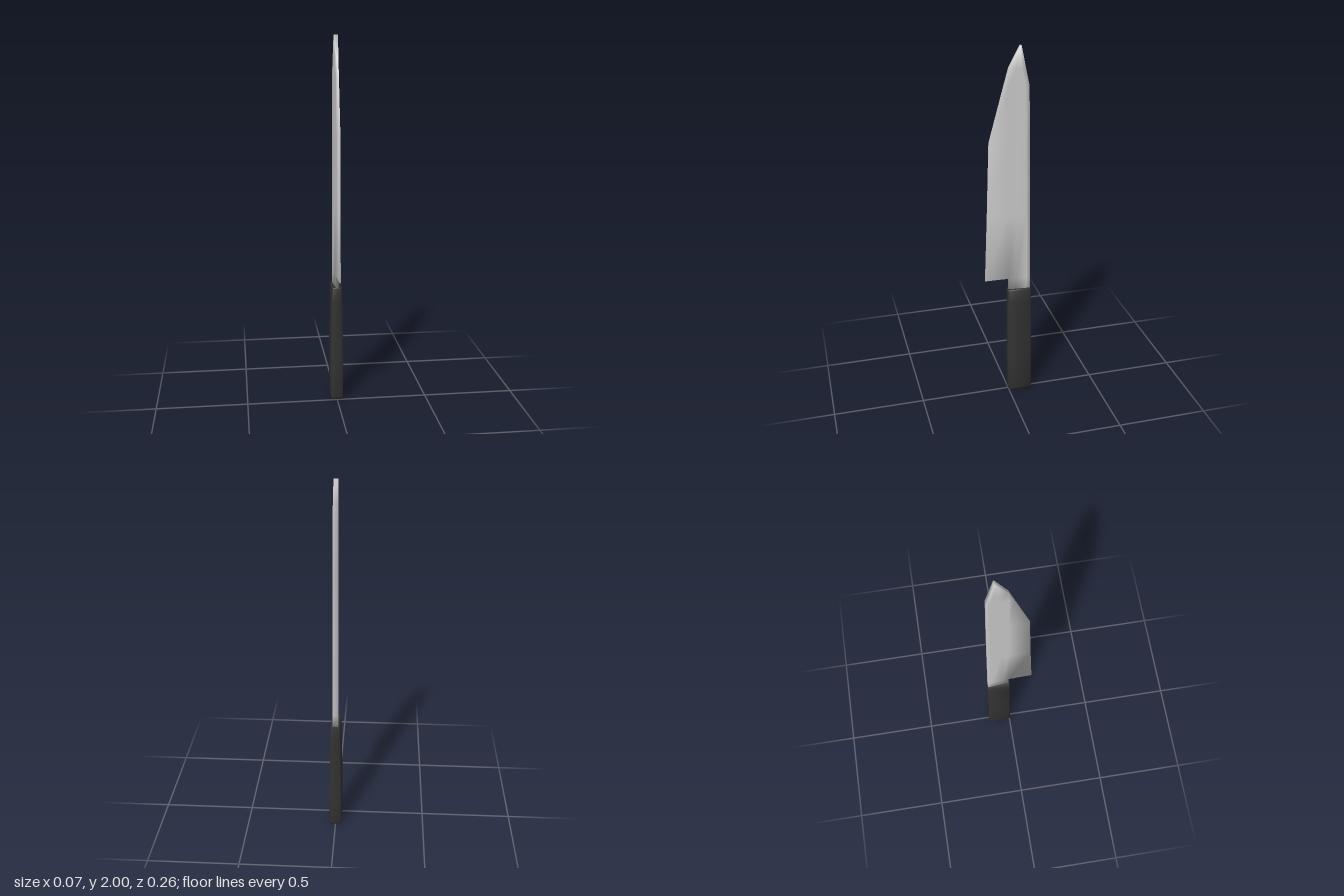
import * as THREE from 'three';
import { toCreasedNormals } from 'three/addons/utils/BufferGeometryUtils.js';

// Skin a stack of equal-sized rings of [x, y, z] points and cap both ends.
function loft(rings, crease) {
  const n = rings[0].length, last = (rings.length - 1) * n, index = [];
  for (let r = 0; r < rings.length - 1; r++) {
    for (let i = 0; i < n; i++) {
      const a = r * n + i, b = r * n + (i + 1) % n;
      index.push(a, a + n, b, b, a + n, b + n);
    }
  }
  for (let k = 1; k < n - 1; k++) {
    index.push(0, k, k + 1, last, last + k + 1, last + k);
  }
  const geometry = new THREE.BufferGeometry();
  geometry.setAttribute('position', new THREE.Float32BufferAttribute(rings.flat(2), 3));
  geometry.setIndex(index);
  return toCreasedNormals(geometry, crease);
}

// Half thickness of the blade: thick at the spine, thin at the cutting edge.
function halfThickness(z) {
  if (z < -0.105) return 0.015;
  if (z < 0) return THREE.MathUtils.mapLinear(z, -0.105, 0, 0.015, 0.006);
  return THREE.MathUtils.mapLinear(z, 0, 0.13, 0.006, 0.003);
}

// Blade cross-section: down the left face from spine to edge, back up the right.
function bladeRing([y, spine, edge]) {
  const columns = [spine, Math.min(spine + 0.02, edge), Math.min(-0.04, edge), Math.min(0, edge), edge];
  const left = columns.map((z) => [halfThickness(z), y, z]);
  const right = columns.map((z) => [-halfThickness(z), y, z]).reverse();
  return [...left, ...right];
}

// Handle cross-section: rectangle with small chamfered corners.
function handleRing([y, halfX, back, front]) {
  const c = 0.006;
  const left = [
    [halfX - c, y, back], [halfX, y, back + c],
    [halfX, y, front - c], [halfX - c, y, front],
  ];
  return [...left, ...left.map(([x, h, z]) => [-x, h, z]).reverse()];
}

export function createModel() {
  const model = new THREE.Group();
  model.name = 'kitchenKnife';

  // Blade rows: height, spine z, edge z; the repeated height makes the heel step.
  const bladeRows = [
    [0.64, -0.122, -0.002], [0.72, -0.121, -0.002], [0.72, -0.121, 0.13],
    [1.1, -0.117, 0.116], [1.51, -0.112, 0.103], [1.8, -0.107, 0.024],
    [1.89, -0.088, -0.001], [2, -0.066, -0.06],
  ];
  const blade = new THREE.Mesh(
    loft(bladeRows.map(bladeRing), 1.7),
    new THREE.MeshStandardMaterial({ color: 0xcccccc, side: THREE.DoubleSide })
  );
  blade.name = 'blade';

  // Handle rows: height, half width, back z, front z; it swells towards the butt.
  const handleRows = [
    [0, 0.026, -0.122, -0.005], [0.006, 0.031, -0.127, 0], [0.02, 0.034, -0.13, 0.003],
    [0.2, 0.034, -0.129, 0.003], [0.36, 0.032, -0.128, 0.003], [0.57, 0.028, -0.126, 0.003],
    [0.65, 0.025, -0.125, 0.003], [0.655, 0.022, -0.123, 0.001],
  ];
  const handle = new THREE.Mesh(
    loft(handleRows.map(handleRing), 0.9),
    new THREE.MeshStandardMaterial({ color: 0x333333 })
  );
  handle.name = 'handle';

  model.add(blade, handle);
  return model;
}
